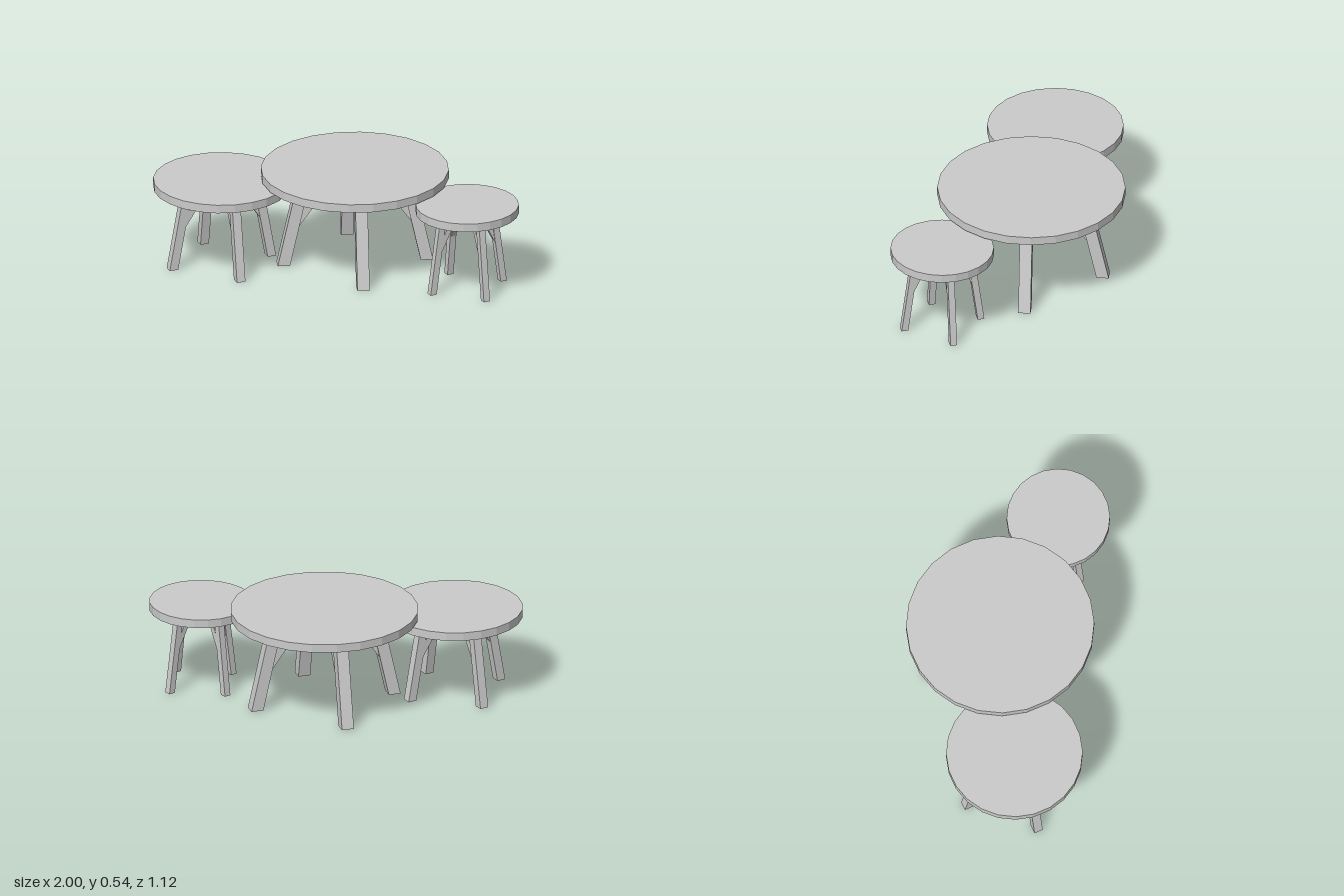
import * as THREE from 'three';

const material = new THREE.MeshStandardMaterial({ color: 0xcccccc, flatShading: true });

function part(name, geometry) {
  const mesh = new THREE.Mesh(geometry, material);
  mesh.name = name;
  return mesh;
}

// Square bar with level ends, leaning from x0 at height y0 to x1 at height y1
function leaningBar(x0, y0, x1, y1, width, depth) {
  const geometry = new THREE.BoxGeometry(width, y1 - y0, depth);
  const p = geometry.attributes.position;
  for (let i = 0; i < p.count; i++) {
    const top = p.getY(i) > 0;
    p.setX(i, p.getX(i) + (top ? x1 : x0));
    p.setY(i, top ? y1 : y0);
  }
  geometry.computeVertexNormals();
  return geometry;
}

// Round table: top disc plus four splayed legs, each with an inward brace
function table({ name, x, z, radius, under, turn }) {
  const group = new THREE.Group();
  group.name = name;
  group.position.set(x, 0, z);

  const thickness = 0.047;
  const top = part('tableTop', new THREE.CylinderGeometry(radius, radius, thickness, 24));
  top.position.y = under + thickness / 2;
  group.add(top);

  const s = radius / 0.51;
  for (let i = 0; i < 4; i++) {
    const leg = new THREE.Group();
    leg.name = 'leg';
    leg.rotation.y = THREE.MathUtils.degToRad(turn) + i * Math.PI / 2;
    leg.add(
      part('legPost', leaningBar(0.39 * s, 0, 0.28 * s, under, 0.067 * s, 0.067 * s)),
      part('legBrace', leaningBar(0.335 * s, 0.228, 0.14 * s, under, 0.06 * s, 0.05 * s))
    );
    group.add(leg);
  }
  return group;
}

export function createModel() {
  const model = new THREE.Group();
  model.name = 'nestingTables';
  model.add(
    table({ name: 'largeTable', x: 0.09, z: -0.05, radius: 0.51, under: 0.495, turn: 10 }),
    table({ name: 'mediumTable', x: -0.63, z: 0.01, radius: 0.37, under: 0.44, turn: 24 }),
    table({ name: 'smallTable', x: 0.72, z: 0.28, radius: 0.28, under: 0.44, turn: 31 })
  );
  return model;
}
